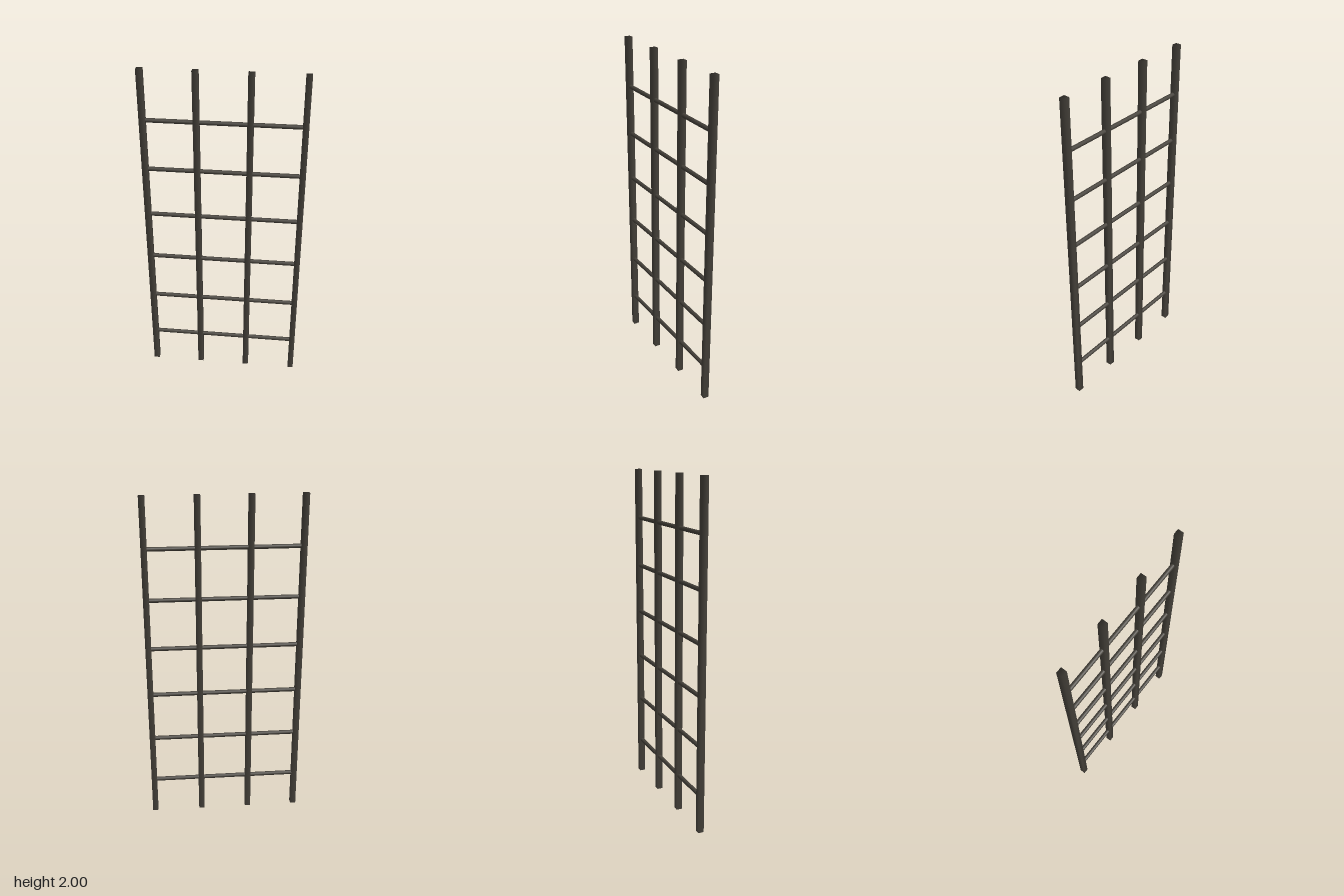
import * as THREE from 'three';
import { mergeVertices } from 'three/addons/utils/BufferGeometryUtils.js';

const POST_X = [-0.445, -0.148, 0.148, 0.445];
const POST_WIDTH = 0.034;
const BAR_RADIUS = 0.0125;
const BAR_COUNT = 6;
const BAR_START = 0.225;
const BAR_STEP = 0.2965;

// Square bar with shared corners, so its edges are shaded softly
function softBox(w, h, d) {
  const box = new THREE.BoxGeometry(w, h, d);
  box.deleteAttribute('normal');
  box.deleteAttribute('uv');
  const soft = mergeVertices(box);
  soft.computeVertexNormals();
  return soft;
}

export function createModel() {
  const group = new THREE.Group();
  group.name = 'barGrille';

  const iron = new THREE.MeshStandardMaterial({ color: 0x45413a });
  iron.name = 'dark iron';

  // Upright square posts
  const postGeometry = softBox(POST_WIDTH, 2, POST_WIDTH);
  POST_X.forEach((x, i) => {
    const post = new THREE.Mesh(postGeometry, iron);
    post.name = `post${i + 1}`;
    post.position.set(x, 1, 0);
    group.add(post);
  });

  // Round crossbars running through the posts
  const barGeometry = new THREE.CylinderGeometry(BAR_RADIUS, BAR_RADIUS, 0.89, 12);
  barGeometry.rotateZ(Math.PI / 2);
  for (let i = 0; i < BAR_COUNT; i++) {
    const bar = new THREE.Mesh(barGeometry, iron);
    bar.name = `crossbar${i + 1}`;
    bar.position.y = BAR_START + i * BAR_STEP;
    group.add(bar);
  }

  return group;
}
